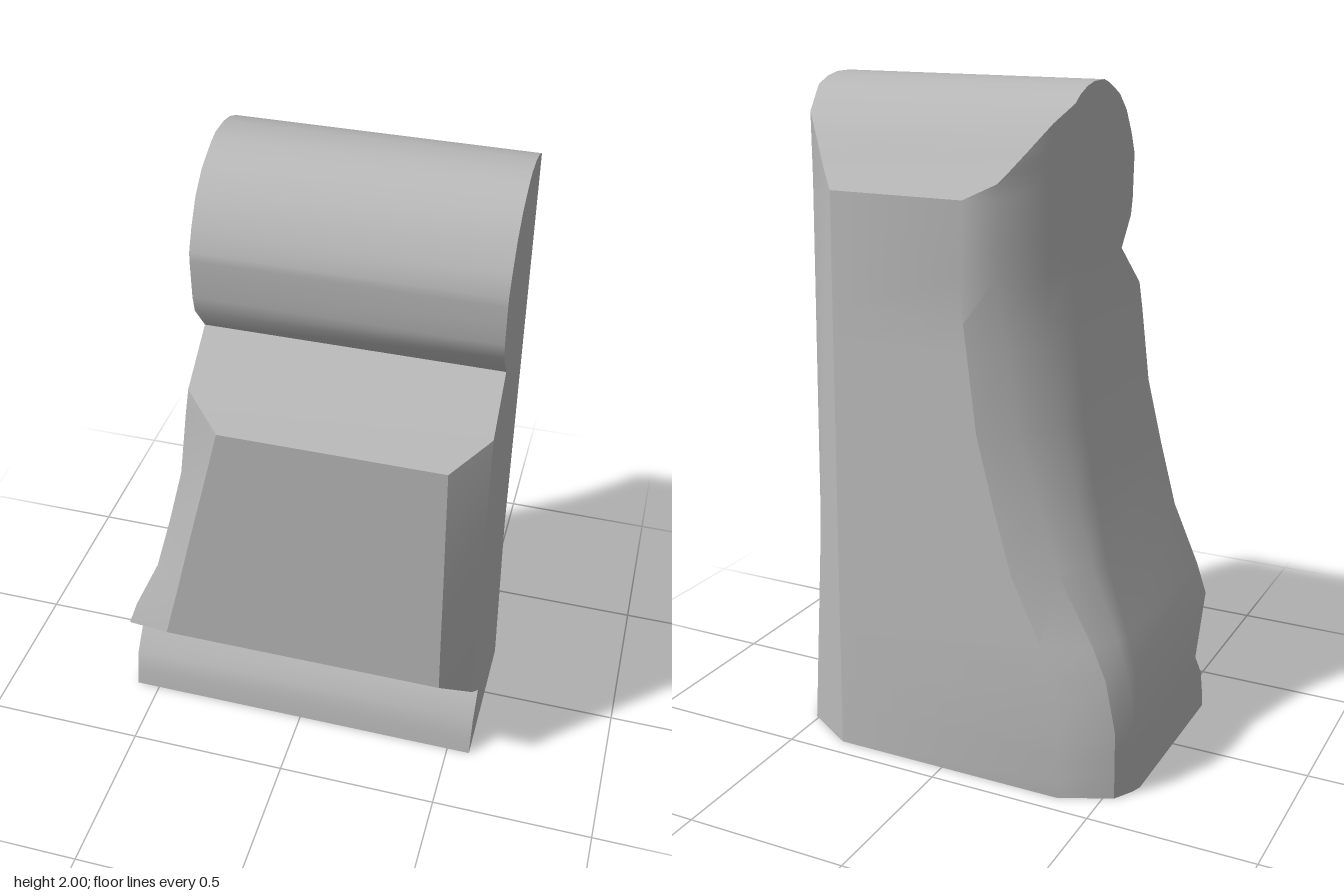
import * as THREE from 'three';
import { toCreasedNormals } from 'three/addons/utils/BufferGeometryUtils.js';

const lerp = THREE.MathUtils.lerp;

// Piecewise linear lookup through [key, value] pairs
function sample(table, k) {
  for (let i = 1; i < table.length; i++) {
    const [k0, v0] = table[i - 1], [k1, v1] = table[i];
    if (k <= k1) return lerp(v0, v1, (k - k0) / (k1 - k0));
  }
  return table[table.length - 1][1];
}

// Flared left side: x by height
const LEFT = [[0, -0.575], [0.3, -0.573], [0.36, -0.55], [0.46, -0.515], [0.65, -0.43],
  [0.85, -0.375], [1.05, -0.325], [1.365, -0.283], [1.49, -0.275], [2, -0.275]];

// Height, front z at the sides, back z of the rounded top (null below it), raised panel [xLeft, xRight]
const LEVELS = [
  [0, 0.275], [0.06, 0.267], [0.13, 0.25], [0.21, 0.19], [0.365, 0.345],
  [0.46, 0.348, null, [-0.38, 0.485]], [0.65, 0.352, null, [-0.333, 0.481]],
  [0.85, 0.356, null, [-0.285, 0.478]], [1.05, 0.36, null, [-0.236, 0.474]],
  [1.28, 0.367, null, [-0.18, 0.47]], [1.36, 0.365], [1.49, 0.23], [1.58, 0.3], [1.63, 0.311],
  [1.7, 0.314, -0.355], [1.745, 0.316, -0.32], [1.77, 0.315, -0.3], [1.83, 0.288, -0.255],
  [1.9, 0.245, -0.2], [1.95, 0.19, -0.13], [1.97, 0.15, -0.1], [1.99, 0.105, -0.05], [2, 0.07, 0],
];

// Corner points cut off by the rounded top slide forward along the corner
function clipCorner(points, zCut) {
  const byZ = points.map(([x, z]) => [z, x]).sort((a, b) => a[0] - b[0]);
  return points.map(([x, z]) => (z >= zCut ? [x, z] : [sample(byZ, zCut), zCut]));
}

// Horizontal outline, counterclockwise from above
function section([y, zFront, zTop, panel]) {
  const xl = sample(LEFT, y);
  const flare = (-0.275 - xl) / 0.3;
  const rise = Math.min(y / 1.7, 1);
  const zBack = -0.44 + 0.05 * Math.min(y, 1.7);
  const right = [[0.572, -0.1], [lerp(0.572, 0.54, rise), -0.2],
    [lerp(0.51, 0.4, rise), -0.34], [lerp(0.35, 0.382, rise), zBack]];
  const left = [[lerp(-0.04, -0.38, flare), zBack],
    [lerp(-0.13, -0.53, flare), lerp(-0.32, -0.37, flare)],
    [lerp(-0.235, -0.565, flare), lerp(-0.21, -0.31, flare)],
    [xl, lerp(-0.13, -0.28, flare)]];
  const cut = zTop ?? -1;
  const [p0, p1] = panel ?? [xl, 0.572];
  const zPanel = panel ? 0.442 : zFront;
  return [[xl, zFront], [p0, zPanel], [p1, zPanel], [0.572, zFront],
    ...clipCorner(right, cut), ...clipCorner(left, cut)]
    .map(([x, z]) => new THREE.Vector3(x, y, z));
}

// Skin the outlines and close both ends
function loft(loops) {
  const pos = [];
  const e1 = new THREE.Vector3(), e2 = new THREE.Vector3();
  const tri = (a, b, c) => {
    e1.subVectors(b, a);
    e2.subVectors(c, a);
    if (e1.cross(e2).length() < 1e-7) return;
    for (const v of [a, b, c]) pos.push(v.x, v.y, v.z);
  };
  const n = loops[0].length;
  for (let r = 0; r < loops.length - 1; r++) {
    const lo = loops[r], hi = loops[r + 1];
    for (let i = 0; i < n; i++) {
      const j = (i + 1) % n;
      tri(lo[i], lo[j], hi[j]);
      tri(lo[i], hi[j], hi[i]);
    }
  }
  const bottom = loops[0], top = loops[loops.length - 1];
  for (let i = 1; i < n - 1; i++) {
    tri(bottom[0], bottom[i + 1], bottom[i]);
    tri(top[0], top[i], top[i + 1]);
  }
  const geo = new THREE.BufferGeometry();
  geo.setAttribute('position', new THREE.Float32BufferAttribute(pos, 3));
  return toCreasedNormals(geo, 0.48);
}

export function createModel() {
  const stone = new THREE.MeshStandardMaterial({ color: 0xb8b8b8 });
  stone.name = 'light grey stone';

  // Carved block: foot, bevelled front panel and rolled top in one skin
  const block = new THREE.Mesh(loft(LEVELS.map(section)), stone);
  block.name = 'carvedBlock';

  const model = new THREE.Group();
  model.name = 'carvedStoneEnd';
  model.add(block);
  return model;
}
